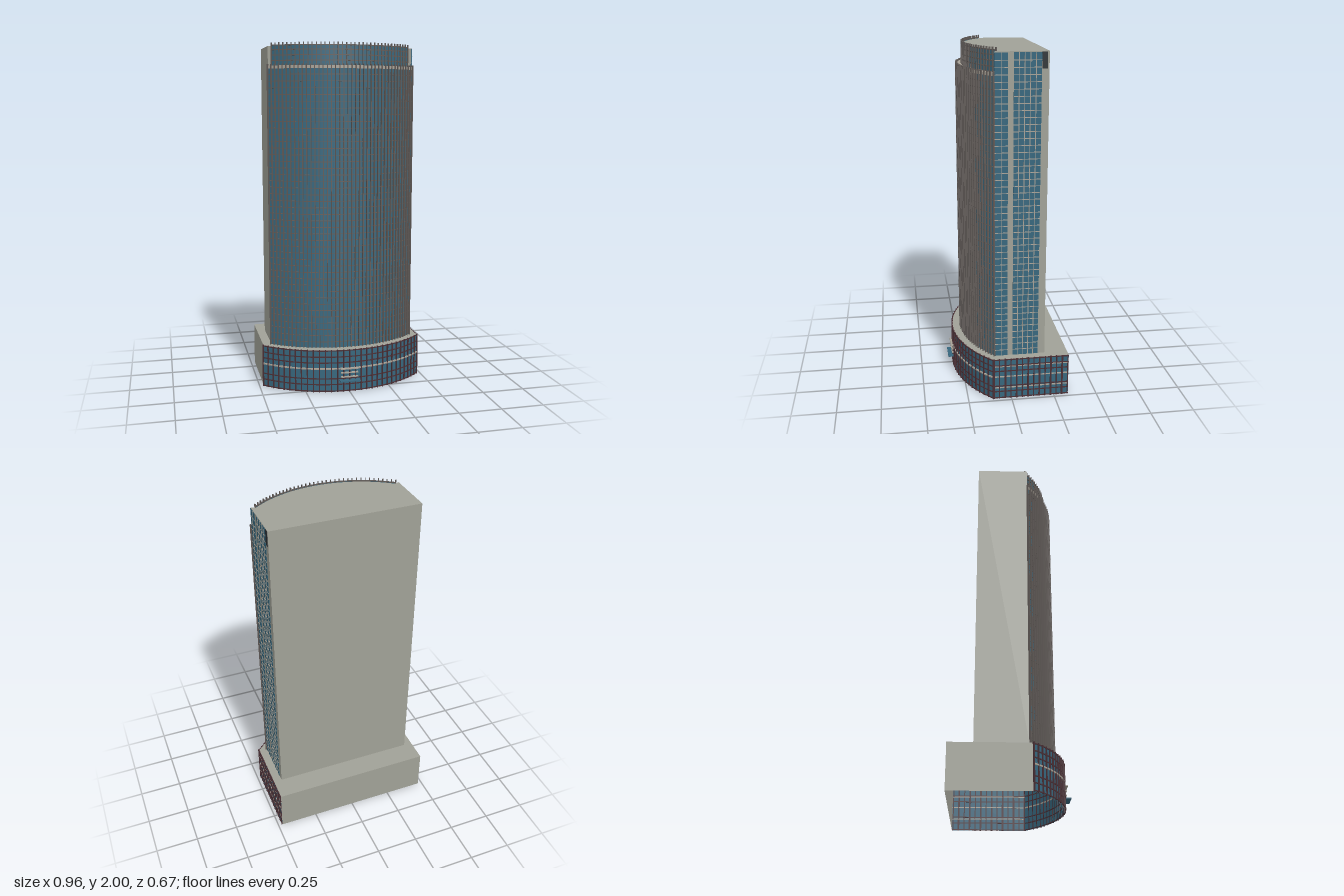
import * as THREE from 'three';
import { mergeGeometries, toCreasedNormals } from 'three/addons/utils/BufferGeometryUtils.js';

const material = (name, color) =>
  new THREE.MeshStandardMaterial({ name, color, side: THREE.DoubleSide });

// Curved fronts: circle radius r centred on z = c, spanning +-a radians
function arc(halfWidth, zEnd, zPeak) {
  const s = zPeak - zEnd;
  const r = (halfWidth * halfWidth + s * s) / (2 * s);
  return { r, c: zPeak - r, a: Math.asin(halfWidth / r) };
}

const TOWER = arc(0.425, 0.09, 0.245);
const CROWN = arc(0.4, 0.075, 0.215);
const PODIUM = arc(0.475, 0.105, 0.3);

const box = (x0, x1, y0, y1, z0, z1) =>
  new THREE.BoxGeometry(x1 - x0, y1 - y0, z1 - z0)
    .translate((x0 + x1) / 2, (y0 + y1) / 2, (z0 + z1) / 2);

// Curved sheet of glass
const curvedSheet = (f, y0, y1) =>
  new THREE.CylinderGeometry(f.r, f.r, y1 - y0, 48, 1, true, -f.a, 2 * f.a)
    .translate(0, (y0 + y1) / 2, f.c);

// Square-edged bar that follows the curve
function curvedBar(f, y0, y1, inner, outer) {
  const p = [[inner, y0], [outer, y0], [outer, y1], [inner, y1], [inner, y0]]
    .map(([d, y]) => new THREE.Vector2(f.r + d, y));
  const g = new THREE.LatheGeometry(p, 40, -f.a, 2 * f.a).translate(0, 0, f.c);
  return toCreasedNormals(g, 0.6);
}

// Upright fins spread along the curve
function curvedFins(f, n, y0, y1, width, depth) {
  const parts = [];
  for (let i = 0; i <= n; i++) {
    const t = f.a * (2 * i / n - 1);
    parts.push(new THREE.BoxGeometry(width, y1 - y0, depth)
      .translate(0, (y0 + y1) / 2, f.r + depth / 2 - 0.002)
      .rotateY(t).translate(0, 0, f.c));
  }
  return mergeGeometries(parts);
}

// Plan outline: straight back and sides, curved front (shape y is -z)
function plan(halfWidth, zBack, zFront, f) {
  const s = new THREE.Shape();
  s.moveTo(-halfWidth, -zBack);
  s.lineTo(-halfWidth, -zFront);
  for (let i = 0; i <= 48; i++) {
    const t = f.a * (i / 24 - 1);
    s.lineTo(f.r * Math.sin(t), -(f.c + f.r * Math.cos(t)));
  }
  s.lineTo(halfWidth, -zFront);
  s.lineTo(halfWidth, -zBack);
  s.closePath();
  return s;
}

const range = (n, fn) => Array.from({ length: n }, (_, i) => fn(i));

export function createModel() {
  const concrete = material('concrete', 0xa0a197);
  const glass = material('blueGlass', 0x37677e);
  const frame = material('towerFrame', 0x625c59);
  const pale = material('paleFrame', 0xa8a297);
  const maroon = material('podiumFrame', 0x4a3036);
  const dark = material('darkLouvre', 0x2b3034);

  const model = new THREE.Group();
  model.name = 'curvedTower';
  const add = (name, geometry, mat) => {
    const m = new THREE.Mesh(geometry, mat);
    m.name = name;
    model.add(m);
  };

  // Podium shell, open underneath
  add('podiumRoof', new THREE.ShapeGeometry(plan(0.475, -0.335, 0.105, PODIUM))
    .rotateX(-Math.PI / 2).translate(0, 0.25, 0), concrete);
  add('podiumBackWall', new THREE.PlaneGeometry(0.95, 0.25)
    .rotateY(Math.PI).translate(0, 0.125, -0.335), concrete);
  add('podiumPlainSide', new THREE.PlaneGeometry(0.44, 0.25)
    .rotateY(-Math.PI / 2).translate(-0.475, 0.125, -0.115), concrete);
  add('podiumGlassSide', new THREE.PlaneGeometry(0.44, 0.25)
    .rotateY(Math.PI / 2).translate(0.475, 0.125, -0.115), glass);
  add('podiumFrontGlass', curvedSheet(PODIUM, 0, 0.25), glass);

  // Podium grid
  const rows = [0.005, 0.045, 0.08, 0.175, 0.21, 0.247];
  add('podiumFrontRails', mergeGeometries(rows.map(y =>
    curvedBar(PODIUM, y - 0.003, y + 0.003, -0.001, 0.004))), maroon);
  add('podiumFrontFins', curvedFins(PODIUM, 30, 0, 0.253, 0.006, 0.009), maroon);
  add('podiumFrontBand', curvedBar(PODIUM, 0.136, 0.144, -0.001, 0.007), pale);
  add('podiumSideRails', mergeGeometries(rows.map(y =>
    box(0.474, 0.478, y - 0.003, y + 0.003, -0.335, 0.105))), maroon);
  add('podiumSideFins', mergeGeometries(range(14, i => {
    const z = -0.33 + i * 0.433 / 13;
    const w = i % 2 ? 0.005 : 0.003;
    return box(0.474, 0.48, 0, 0.253, z - w, z + w);
  })), maroon);
  add('podiumSideBands', mergeGeometries([0.07, 0.14, 0.205].map(y =>
    box(0.474, 0.479, y - 0.003, y + 0.003, -0.335, 0.105))), pale);

  // Entrance canopies and sign-free lintel strips
  add('entranceCanopy', box(-0.06, 0.06, 0.067, 0.073, 0.29, 0.335), glass);
  add('upperCanopy', box(-0.055, 0.055, 0.137, 0.143, 0.29, 0.318), pale);
  add('entranceLintels', mergeGeometries([0.09, 0.115].map(y =>
    box(-0.05, 0.05, y - 0.003, y + 0.003, 0.295, 0.312))), pale);

  // Tower body with set-back crown
  add('towerBody', toCreasedNormals(new THREE.ExtrudeGeometry(
    plan(0.425, -0.2, 0.09, CROWN), { depth: 1.73, bevelEnabled: false })
    .rotateX(-Math.PI / 2).translate(0, 0.25, 0), 0.3), concrete);

  // Curved tower front
  add('towerFrontGlass', curvedSheet(TOWER, 0.25, 1.87), glass);
  add('towerLedge', curvedBar(TOWER, 1.855, 1.872, -0.036, 0.004), pale);
  add('towerFloorLines', mergeGeometries(range(42, i => {
    const y = 0.285 + i * 0.0375;
    return curvedBar(TOWER, y - 0.002, y + 0.002, -0.001, 0.003);
  })), frame);
  add('towerFins', curvedFins(TOWER, 40, 0.25, 1.88, 0.005, 0.013), frame);

  // Crown above the ledge
  const crownGlass = { ...CROWN, r: CROWN.r + 0.002 };
  add('crownGlass', curvedSheet(crownGlass, 1.87, 1.985), glass);
  add('crownRails', mergeGeometries([1.9, 1.93, 1.96, 1.985].map(y =>
    curvedBar(crownGlass, y - 0.003, y + 0.003, -0.002, 0.003))), frame);
  add('crownFins', curvedFins(crownGlass, 36, 1.87, 2, 0.005, 0.008), frame);

  // Glazed tower side, split by a concrete pier
  const bays = [[-0.16, -0.012], [0.018, 0.09]];
  add('towerSideGlass', mergeGeometries(bays.map(([a, b]) =>
    box(0.42, 0.4265, 0.25, 1.975, a, b))), glass);
  add('towerSideLines', mergeGeometries(bays.flatMap(([a, b]) => range(45, i => {
    const y = 0.285 + i * 0.0375;
    return box(0.42, 0.428, y - 0.002, y + 0.002, a, b);
  }))), pale);
  add('towerSideMullions', mergeGeometries([-0.13, -0.1, -0.07, -0.04, 0.054].map(z =>
    box(0.42, 0.4285, 0.25, 1.975, z - 0.002, z + 0.002))), pale);
  add('sideLouvre', box(0.42, 0.4265, 1.89, 1.977, -0.19, -0.162), dark);

  return model;
}
